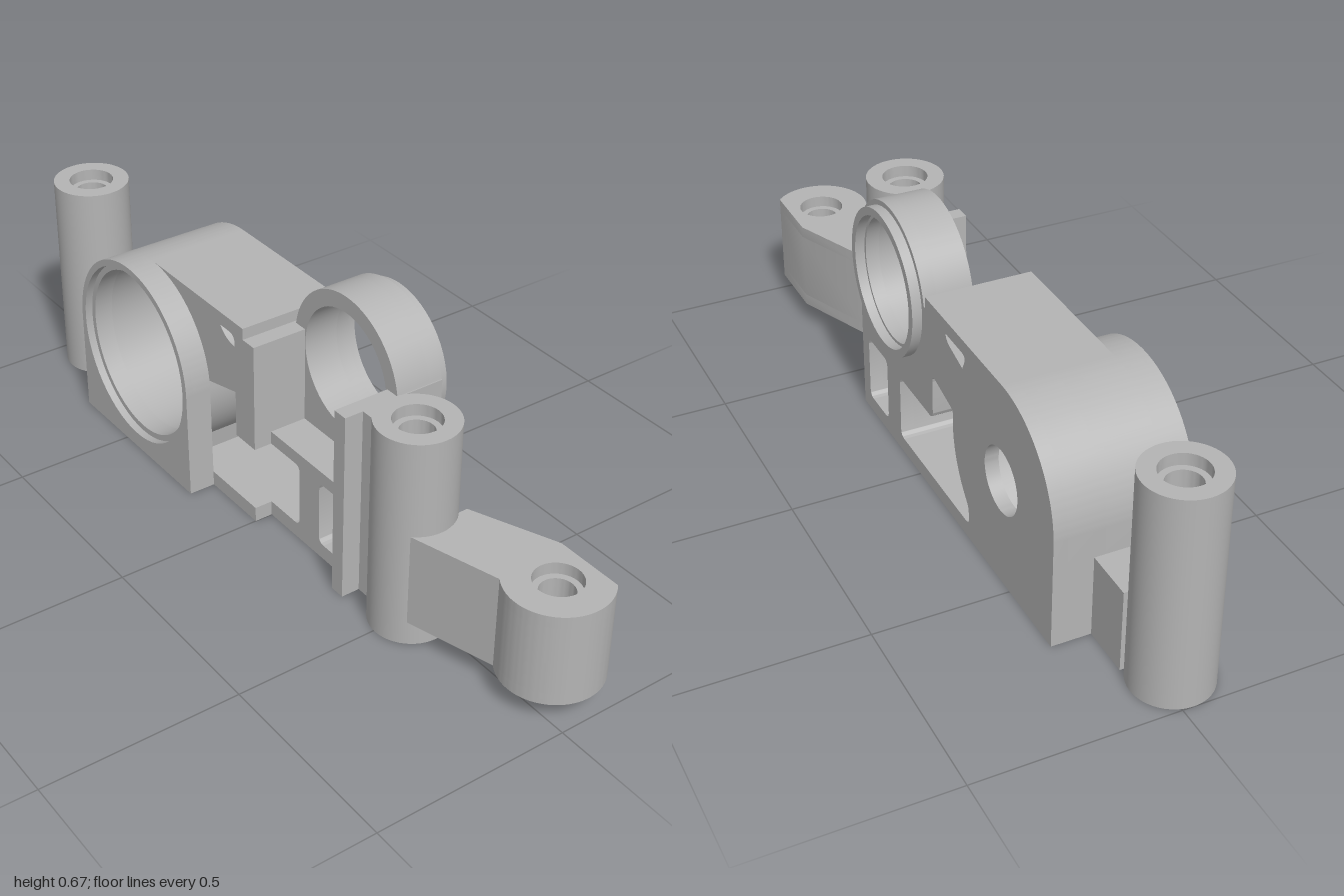
import * as THREE from 'three';
import { toCreasedNormals } from 'three/addons/utils/BufferGeometryUtils.js';

const grey = new THREE.MeshStandardMaterial({ color: 0xb4b4b4 });
grey.name = 'cast grey';

const BORE = [-0.45, 0.28], RING = [0.16, 0.47], R = 0.255;

export function createModel() {
  const group = new THREE.Group();

  const add = (name, geo, crease = 0.5) => {
    const mesh = new THREE.Mesh(toCreasedNormals(geo, crease), grey);
    mesh.name = name;
    group.add(mesh);
    return mesh;
  };
  // box given by its limits
  const box = (name, x0, x1, y0, y1, z0, z1) =>
    add(name, new THREE.BoxGeometry(x1 - x0, y1 - y0, z1 - z0))
      .position.set((x0 + x1) / 2, (y0 + y1) / 2, (z0 + z1) / 2);
  // plate of an xy shape between two z values
  const plate = (name, shape, holes, z0, z1) => {
    shape.holes = holes;
    const geo = new THREE.ExtrudeGeometry(shape, { depth: z1 - z0, bevelEnabled: false, curveSegments: 28 });
    geo.translate(0, 0, z0);
    return add(name, geo);
  };
  const circle = ([x, y], r, Type = THREE.Path) => new Type().absarc(x, y, r, 0, Math.PI * 2, false);
  // polygon with rounded corners
  const rounded = (pts, r) => {
    const path = new THREE.Path();
    const v = pts.map(p => new THREE.Vector2(...p));
    v.forEach((p, i) => {
      const toward = q => p.clone().lerp(q, Math.min(0.45, r / p.distanceTo(q)));
      const a = toward(v[(i + v.length - 1) % v.length]);
      const b = toward(v[(i + 1) % v.length]);
      if (i) path.lineTo(a.x, a.y); else path.moveTo(a.x, a.y);
      path.quadraticCurveTo(p.x, p.y, b.x, b.y);
    });
    path.closePath();
    return path;
  };

  // edge of the lower opening that follows the round housing
  const housingEdge = [];
  for (let i = 0; i <= 10; i++) {
    const a = THREE.MathUtils.degToRad(7 - 5.5 * i);
    housingEdge.push([BORE[0] + R * Math.cos(a), BORE[1] + R * Math.sin(a)]);
  }
  const opening = () => rounded([[-0.08, 0.34], ...housingEdge, [-0.285, 0.04],
    [0.12, 0.04], [0.12, 0.215], [-0.08, 0.215]], 0.02);
  const triangle = () => rounded([[-0.27, 0.5], [-0.08, 0.5], [-0.08, 0.43], [-0.205, 0.395], [-0.225, 0.41]], 0.025);
  const sideWindow = () => rounded([[0.2, 0.04], [0.32, 0.04], [0.32, 0.215], [0.2, 0.215]], 0.02);

  // starts an outline up the left wall and over the round housing
  const housingStart = () => new THREE.Shape().moveTo(-0.705, 0).lineTo(-0.705, BORE[1])
    .absarc(BORE[0], BORE[1], R, Math.PI, Math.PI / 2, true);

  // back frame: full outline with the upper ring merged in
  const backOutline = () => {
    const a = Math.asin((0.505 - RING[1]) / 0.2);
    return housingStart().lineTo(-0.045, 0.535).lineTo(-0.045, 0.505)
      .absarc(RING[0], RING[1], 0.2, Math.PI - a, a, true)
      .lineTo(0.36, 0.505).lineTo(0.36, 0);
  };
  const backHoles = r => [circle(BORE, r), circle(RING, 0.158), opening(), triangle(), sideWindow()];
  plate('backWall', backOutline(), backHoles(0.083), -0.16, -0.125);
  plate('backFrame', backOutline(), backHoles(0.222), -0.125, -0.033);
  plate('ringCollar', circle(RING, 0.187, THREE.Shape), [circle(RING, 0.166)], -0.185, -0.16);

  // middle of the housing, open on the right below the web
  const middle = housingStart().lineTo(-0.045, 0.535).lineTo(-0.045, 0.505)
    .lineTo(0, 0.505).lineTo(0, 0.215).lineTo(-0.08, 0.215).lineTo(-0.08, 0.34);
  housingEdge.forEach(p => middle.lineTo(...p));
  middle.lineTo(-0.285, 0.04).lineTo(0, 0.04).lineTo(0, 0);
  plate('housingBody', middle, [circle(BORE, 0.222), triangle()], -0.033, 0.115);

  // front lip of the round housing with its counterbore
  const lip = () => housingStart().absarc(BORE[0], BORE[1], R, Math.PI / 2, 0, true).lineTo(-0.19, 0);
  plate('housingLip', lip(), [circle(BORE, 0.222)], 0.115, 0.165);
  plate('housingRim', lip(), [circle(BORE, 0.238)], 0.165, 0.185);

  // lower front frame: floor, pillar and beam under the ring
  const frame = new THREE.Shape().moveTo(0, 0).lineTo(0, 0.04).lineTo(0.1, 0.04)
    .quadraticCurveTo(0.12, 0.04, 0.12, 0.06).lineTo(0.12, 0.195)
    .quadraticCurveTo(0.12, 0.215, 0.1, 0.215).lineTo(0, 0.215)
    .lineTo(0, 0.25).lineTo(0.325, 0.25).lineTo(0.325, 0);
  plate('lowerFrame', frame, [sideWindow()], -0.033, 0.067);

  // right-hand guide strip and links to the posts
  box('guideStrip', 0.32, 0.36, 0, 0.505, -0.033, 0.115);
  box('upperLink', 0.355, 0.43, 0, 0.505, 0, 0.066);
  box('lowerLink', 0.355, 0.44, 0, 0.215, -0.06, 0.065);
  box('outerLink', -0.835, -0.7, 0, 0.215, -0.06, 0.113);

  // bolt posts with a counterbore at both ends
  const profile = [[0.1, 0], [0.1, 0.55], [0.058, 0.55], [0.058, 0.52], [0.042, 0.52],
    [0.042, 0.03], [0.058, 0.03], [0.058, 0], [0.1, 0]].map(p => new THREE.Vector2(...p));
  [['outerPost', -0.9], ['innerPost', 0.505]].forEach(([name, x]) =>
    add(name, new THREE.LatheGeometry(profile, 48)).position.set(x, 0, 0.028));

  // side arm with a rounded eye, stacked in layers for the stepped hole
  const eye = [0.875, 0.07];
  const armLayer = (name, r, y0, y1) => {
    const a = Math.asin(0.09 / 0.125);
    const shape = new THREE.Shape().moveTo(0.57, -0.098).lineTo(0.57, 0.072)
      .lineTo(0.785, 0.16).lineTo(0.96, 0.16)
      .absarc(eye[0], eye[1], 0.125, a, -Math.PI * 0.7, true);
    const mesh = plate(name, shape, [circle(eye, r)], y0, y1);
    mesh.rotation.x = -Math.PI / 2;
  };
  armLayer('armBottom', 0.058, 0.063, 0.093);
  armLayer('armMiddle', 0.042, 0.093, 0.275);
  armLayer('armTop', 0.058, 0.275, 0.305);

  return group;
}
